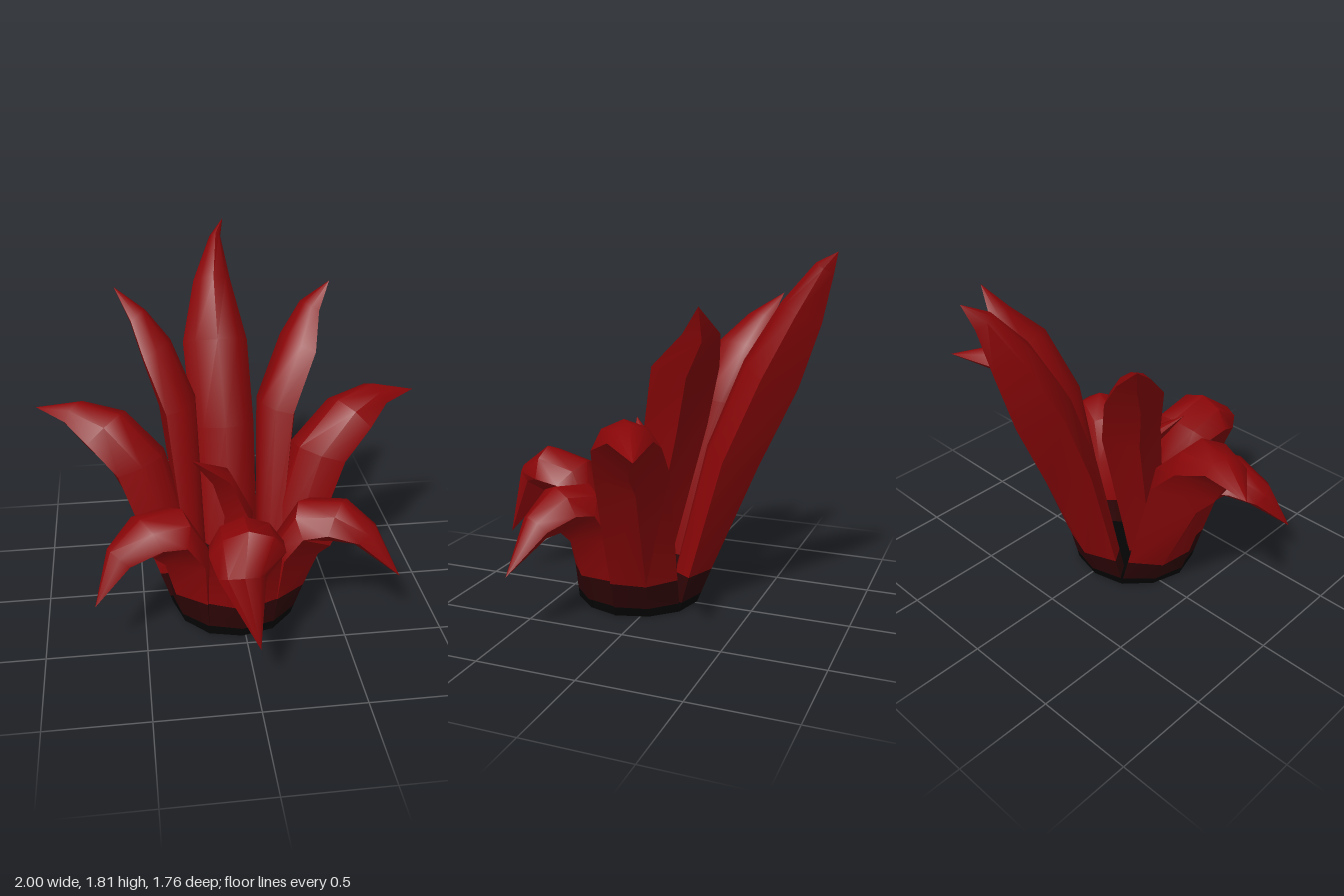
import * as THREE from 'three';
import { toCreasedNormals } from 'three/addons/utils/BufferGeometryUtils.js';

const material = (name, color) => new THREE.MeshStandardMaterial({ name, color });
const CENTRE = [-0.02, 0.12]; // x, z of the root
const BANDS = [0, 0.05, 0.19]; // heights where the root colours change

// A leaf is a loft of six-sided sections: edge, outer spine, edge, then three inner points.
// stations: [x, y, z, halfWidth, depth]; root: radius, half width, outer and inner depth
function leafGeometry(degrees, root, stations, tip) {
  const a = THREE.MathUtils.degToRad(degrees);
  const dir = new THREE.Vector3(Math.cos(a), 0, Math.sin(a));
  const lat = new THREE.Vector3(-Math.sin(a), 0, Math.cos(a));
  const tipPoint = new THREE.Vector3(...tip);
  const start = new THREE.Vector3(CENTRE[0], 0, CENTRE[1]).addScaledVector(dir, root.radius);

  const section = (c, normal, w, outer, inner) => [
    [w, 0], [0, outer], [-w, 0],
    [-w * 0.66, -inner * 0.7], [0, -inner], [w * 0.66, -inner * 0.7],
  ].map(([u, v]) => c.clone().addScaledVector(lat, u).addScaledVector(normal, v));

  const mids = stations.map(([x, y, z]) => new THREE.Vector3(x, y, z));
  const [w0, d0] = stations[0].slice(3);
  const lerp = THREE.MathUtils.lerp;
  // level sections through the coloured root bands
  const rows = BANDS.map((y) => {
    const t = y / mids[0].y;
    return section(start.clone().lerp(mids[0], t), dir, lerp(root.w, w0, t),
      lerp(root.outer, d0, t), lerp(root.inner, d0, t));
  });
  // sections square to the leaf's path
  mids.forEach((c, i) => {
    const tangent = (mids[i + 1] || tipPoint).clone().sub(mids[i - 1] || start);
    const normal = tangent.cross(lat).normalize();
    const [w, d] = stations[i].slice(3);
    rows.push(section(c, normal, w, d, d));
  });

  const points = [];
  const groupEnds = [];
  const sides = rows[0].length;
  for (let j = 1; j < sides - 1; j++) points.push(rows[0][0], rows[0][j + 1], rows[0][j]); // underside
  for (let i = 0; i < rows.length - 1; i++) {
    for (let j = 0; j < sides; j++) {
      const k = (j + 1) % sides;
      const [lo, hi] = [rows[i], rows[i + 1]];
      points.push(lo[j], lo[k], hi[k], lo[j], hi[k], hi[j]);
    }
    if (i < 2) groupEnds.push(points.length);
  }
  const last = rows[rows.length - 1];
  for (let j = 0; j < sides; j++) points.push(last[j], last[(j + 1) % sides], tipPoint);

  const geometry = new THREE.BufferGeometry().setFromPoints(points);
  geometry.addGroup(0, groupEnds[0], 0);
  geometry.addGroup(groupEnds[0], groupEnds[1] - groupEnds[0], 1);
  geometry.addGroup(groupEnds[1], points.length - groupEnds[1], 2);
  return toCreasedNormals(geometry, 0.85);
}

export function createModel() {
  const model = new THREE.Group();
  model.name = 'spikyPlant';
  const black = material('rootBlack', 0x040404);
  const dark = material('darkRed', 0x2e0405);
  const red = material('leafRed', 0x8a0608);

  const outerRoot = { radius: 0.28, w: 0.165, outer: 0.04, inner: 0.12 };
  const innerRoot = { radius: 0.2, w: 0.09, outer: 0.05, inner: 0.05 };
  const heartRoot = { radius: 0.02, w: 0.09, outer: 0.07, inner: 0.07 };

  const addLeaf = (name, ...shape) => {
    const leaf = new THREE.Mesh(leafGeometry(...shape), [black, dark, red]);
    leaf.name = name;
    model.add(leaf);
  };

  // outer ring of six leaves
  addLeaf('frontLeaf', 90, outerRoot,
    [[0, 0.42, 0.42, 0.18, 0.11], [-0.01, 0.6, 0.51, 0.18, 0.13],
      [-0.02, 0.62, 0.64, 0.18, 0.14], [-0.06, 0.57, 0.75, 0.11, 0.1]],
    [0.01, 0.26, 0.88]);
  addLeaf('frontLeftLeaf', 30, outerRoot,
    [[0.28, 0.42, 0.27, 0.18, 0.12], [0.36, 0.56, 0.31, 0.17, 0.14],
      [0.47, 0.58, 0.34, 0.15, 0.12], [0.6, 0.52, 0.39, 0.09, 0.08]],
    [0.77, 0.32, 0.47]);
  addLeaf('frontRightLeaf', 150, outerRoot,
    [[-0.29, 0.42, 0.28, 0.18, 0.12], [-0.37, 0.56, 0.32, 0.17, 0.14],
      [-0.48, 0.57, 0.36, 0.15, 0.12], [-0.61, 0.5, 0.42, 0.09, 0.08]],
    [-0.74, 0.31, 0.53]);
  addLeaf('leftLeaf', -30, outerRoot,
    [[0.46, 0.79, -0.04, 0.18, 0.165], [0.61, 0.95, -0.08, 0.16, 0.15],
      [0.75, 1.02, -0.16, 0.1, 0.08]],
    [1, 1, -0.28]);
  addLeaf('rightLeaf', 210, outerRoot,
    [[-0.51, 0.77, -0.06, 0.18, 0.165], [-0.66, 0.94, -0.09, 0.165, 0.15],
      [-0.8, 1.02, -0.14, 0.1, 0.07]],
    [-1, 1.02, -0.25]);
  addLeaf('backLeaf', -90, outerRoot,
    [[-0.02, 0.8, -0.38, 0.17, 0.14], [-0.04, 1.22, -0.56, 0.175, 0.15],
      [-0.04, 1.52, -0.7, 0.1, 0.11], [-0.01, 1.73, -0.81, 0.03, 0.05]],
    [0.04, 1.81, -0.88]);

  // inner leaves, turned to face the sides
  addLeaf('innerLeftLeaf', -22, innerRoot,
    [[0.25, 1.0, -0.18, 0.15, 0.11], [0.37, 1.3, -0.27, 0.155, 0.09],
      [0.44, 1.46, -0.37, 0.085, 0.05]],
    [0.54, 1.59, -0.39]);
  addLeaf('innerRightLeaf', 204, innerRoot,
    [[-0.28, 1.02, -0.2, 0.15, 0.1], [-0.38, 1.29, -0.29, 0.145, 0.085],
      [-0.46, 1.44, -0.38, 0.08, 0.05]],
    [-0.57, 1.57, -0.48]);
  addLeaf('heartLeaf', 150, heartRoot,
    [[0, 0.52, 0.07, 0.1, 0.08], [-0.09, 0.75, 0.11, 0.085, 0.055]],
    [-0.24, 0.91, 0.23]);

  // root disc closing the middle
  const root = new THREE.Mesh(new THREE.CylinderGeometry(0.28, 0.27, 0.05, 12), black);
  root.name = 'rootDisc';
  root.position.set(CENTRE[0], 0.025, CENTRE[1]);
  model.add(root);
  return model;
}
